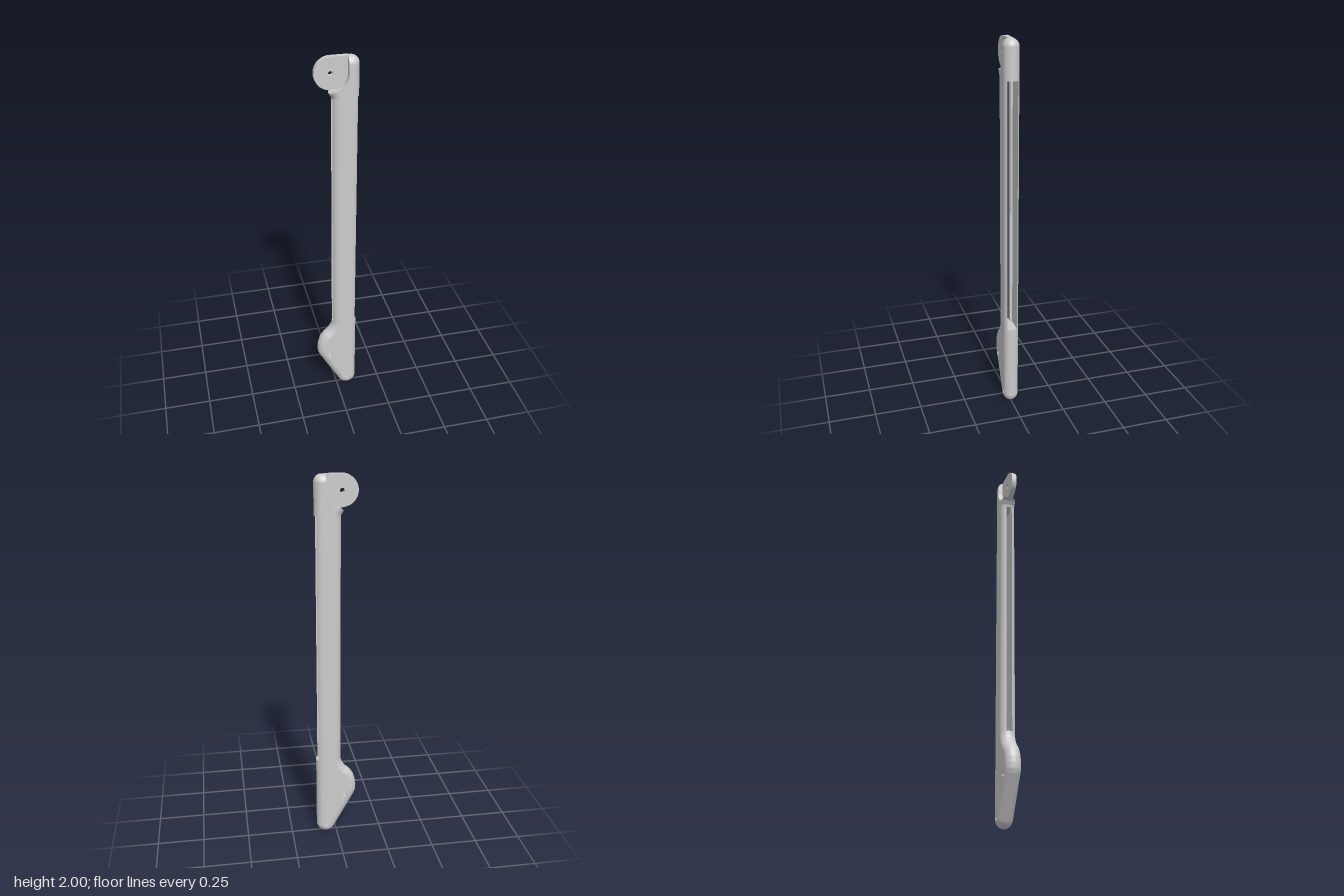
import * as THREE from 'three';
import { mergeGeometries } from 'three/addons/utils/BufferGeometryUtils.js';

const R = 0.04;              // edge rounding and half thickness
const TONGUE = 0.014;        // half thickness of the pivot tongue
const GROOVE = 0.027, SLIT = 0.015, LOW = 0.46, HIGH = 1.8;
const PIVOT = [-0.03, 1.92];
const HOLES = [[-0.044, 0.24, 0.012], [0.059, 0.051, 0.009]];
const mat = new THREE.MeshStandardMaterial({ color: 0xcccccc, side: THREE.DoubleSide });

// Surface over a grid; fn(i, j) returns [x, y, z, nx, ny, nz], normals optional
function grid(nu, nv, fn) {
  const pos = [], nor = [], idx = [];
  for (let i = 0; i <= nu; i++) for (let j = 0; j <= nv; j++) {
    const p = fn(i, j);
    pos.push(...p.slice(0, 3));
    nor.push(...p.slice(3));
    if (i < nu && j < nv) {
      const a = i * (nv + 1) + j, b = a + nv + 1;
      idx.push(a, a + 1, b, a + 1, b + 1, b);
    }
  }
  let g = new THREE.BufferGeometry();
  g.setAttribute('position', new THREE.Float32BufferAttribute(pos, 3));
  g.setIndex(idx);
  if (nor.length) g.setAttribute('normal', new THREE.Float32BufferAttribute(nor, 3));
  g = g.toNonIndexed();
  if (!nor.length) g.computeVertexNormals();
  return g;
}

function arc(cx, cy, r, from, to, n) {
  return Array.from({ length: n + 1 }, (_, i) => {
    const a = THREE.MathUtils.degToRad(from + (to - from) * i / n);
    return [cx + r * Math.cos(a), cy + r * Math.sin(a)];
  });
}

const toShape = pts => new THREE.Shape(pts.map(p => new THREE.Vector2(p[0], p[1])));
const circle = (x, y, r) => new THREE.Path().absarc(x, y, r, 0, Math.PI * 2, true);

// Centre line of the rounded edge, clockwise; third value is the half width of a slot
const edge = [
  [0.053, 1.96], [0.07, 1.96], [0.07, HIGH, GROOVE], [0.07, LOW],
  ...arc(0.058, 0.052, 0.012, 0, -150, 10),
  [-0.064, 0.25], [-0.069, 0.264], [-0.07, 0.285], [-0.067, 0.31], [-0.058, 0.338],
  [-0.045, 0.357], [-0.02, 0.379], [0, 0.408], [0.011, 0.435],
  [0.015, LOW, SLIT], [0.015, HIGH], [0.01, 1.818], [-0.005, 1.842],
];
const cut = arc(PIVOT[0], PIVOT[1], 0.083, -72, 0, 16); // cheek recess around the pivot

// Rounded rim swept along the edge, with a gap wherever there is a slot
function rimGeometry() {
  const parts = [];
  const angle = i => Math.atan2(edge[i + 1][0] - edge[i][0], -(edge[i + 1][1] - edge[i][1]));
  const band = (cols, w) => {
    const t0 = Math.asin(w / R), h = Math.PI / 2;
    const ranges = w ? [[-h, -t0], [t0, h]] : [[-h, h]];
    for (const [a, b] of ranges) parts.push(grid(cols.length - 1, 16, (i, j) => {
      const [x, y, ang] = cols[i], t = a + (b - a) * j / 16;
      const n = [Math.cos(ang) * Math.cos(t), Math.sin(ang) * Math.cos(t), Math.sin(t)];
      return [x + R * n[0], y + R * n[1], R * n[2], ...n];
    }));
  };
  // outward direction of a clockwise segment
  const out = i => { const a = angle(i); return Math.atan2(Math.sin(a), Math.cos(a)); };
  for (let i = 0; i < edge.length - 1; i++) {
    const [x, y, w = 0] = edge[i], a = outward(i);
    band([[x, y, a], [edge[i + 1][0], edge[i + 1][1], a]], w);
    if (i > 0) {
      const p = outward(i - 1);
      const d = Math.atan2(Math.sin(a - p), Math.cos(a - p));
      const n = Math.max(1, Math.ceil(Math.abs(d) / 0.15));
      if (Math.abs(d) > 1e-4) band(Array.from({ length: n + 1 }, (_, k) => [x, y, p + d * k / n]), 0);
    }
  }
  return mergeGeometries(parts);
}
function outward(i) {
  const dx = edge[i + 1][0] - edge[i][0], dy = edge[i + 1][1] - edge[i][1];
  return Math.atan2(dx, -dy);
}

export function createModel() {
  const model = new THREE.Group();
  const add = (name, geometry, parent = model) => {
    const m = new THREE.Mesh(geometry, mat);
    m.name = name;
    parent.add(m);
    return m;
  };

  // Flat sides and rounded rim of the arm
  const arm = new THREE.Group();
  arm.name = 'arm';
  model.add(arm);
  const side = toShape([...edge, ...cut]);
  side.holes = HOLES.map(h => circle(...h));
  add('frontFace', new THREE.ShapeGeometry(side, 24), arm).position.z = R;
  const back = add('backFace', new THREE.ShapeGeometry(side, 24), arm);
  back.position.z = -R;
  back.geometry.scale(1, 1, -1);
  const bn = back.geometry.attributes.normal, bi = back.geometry.index;
  for (let i = 0; i < bn.count; i++) bn.setXYZ(i, 0, 0, -1);
  for (let i = 0; i < bi.count; i += 3) {
    const a = bi.getX(i);
    bi.setX(i, bi.getX(i + 1));
    bi.setX(i + 1, a);
  }
  add('roundedEdge', rimGeometry(), arm);

  // Bores through the foot
  for (const [x, y, r] of HOLES) {
    const g = new THREE.CylinderGeometry(r, r, 2 * R, 24, 1, true).rotateX(Math.PI / 2);
    add('footBore', g, arm).position.set(x, y, 0);
  }

  // Stepped channel inside the shaft, open on both narrow sides
  const lip = w => Math.sqrt(R * R - w * w);
  const channel = [[0.07 + lip(GROOVE), GROOVE], [0.01, GROOVE], [0.01, SLIT], [0.015 - lip(SLIT), SLIT]];
  for (const s of [1, -1]) {
    add('channelWall', grid(3, 1, (i, j) => [channel[i][0], j ? HIGH : LOW, s * channel[i][1]]), arm);
  }
  const section = toShape([...arc(0.07, 0, R, -90, 90, 16), ...arc(0.015, 0, R, 90, 270, 16)]);
  for (const y of [LOW, HIGH]) {
    add('channelEnd', new THREE.ShapeGeometry(section).rotateX(-Math.PI / 2), arm).position.y = y;
  }

  // Walls of the recesses on both sides of the tongue
  const tMax = Math.acos(TONGUE / R);
  const ramp = Array.from({ length: 9 }, (_, i) => tMax * i / 8);
  const wall = [
    ...ramp.slice().reverse().map(t => [-0.005 - R * Math.sin(t), 1.842, R * Math.cos(t)]),
    ...cut.map(p => [...p, R]),
    ...ramp.map(t => [0.053, 1.96 + R * Math.sin(t), R * Math.cos(t)]),
  ];
  for (const s of [1, -1]) {
    add('recessWall', grid(wall.length - 1, 1, (i, j) => [wall[i][0], wall[i][1], s * (j ? wall[i][2] : TONGUE)]), arm);
  }

  // Thin pivot tongue at the top
  const plate = toShape([[0.06, 2], ...arc(PIVOT[0], PIVOT[1], 0.08, 90, 270, 32), [0, 1.83], [0.06, 1.83]]);
  plate.holes.push(circle(PIVOT[0], PIVOT[1], 0.012));
  const tongue = new THREE.ExtrudeGeometry(plate, { depth: 2 * TONGUE, bevelEnabled: false, curveSegments: 24 });
  add('pivotTongue', tongue).position.z = -TONGUE;

  return model;
}
